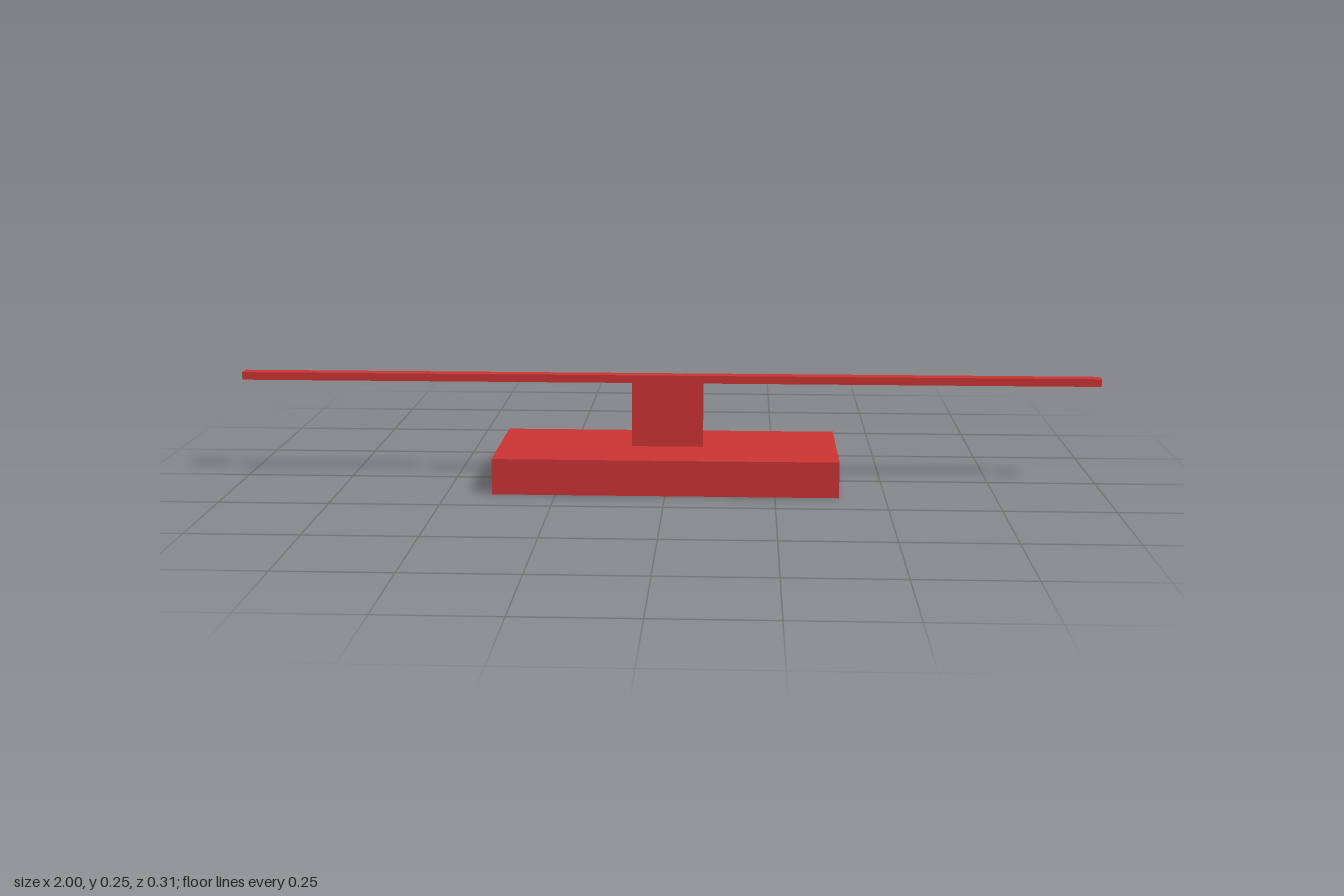
import * as THREE from 'three';

export function createModel() {
  const model = new THREE.Group();
  model.name = 'balanceBarOnStand';

  const red = new THREE.MeshStandardMaterial({ color: 0xcc3333 });
  red.name = 'red';

  // Adds a box whose underside sits at the given height
  function addBox(name, width, height, depth, bottom) {
    const mesh = new THREE.Mesh(new THREE.BoxGeometry(width, height, depth), red);
    mesh.name = name;
    mesh.position.y = bottom + height / 2;
    model.add(mesh);
  }

  const baseHeight = 0.083, postHeight = 0.151, barHeight = 0.018, thickness = 0.03;

  // Broad slab, narrow upright post, long thin bar
  addBox('base', 0.79, baseHeight, 0.312, 0);
  addBox('post', 0.166, postHeight, thickness, baseHeight);
  addBox('crossbar', 2, barHeight, thickness, baseHeight + postHeight);

  return model;
}
